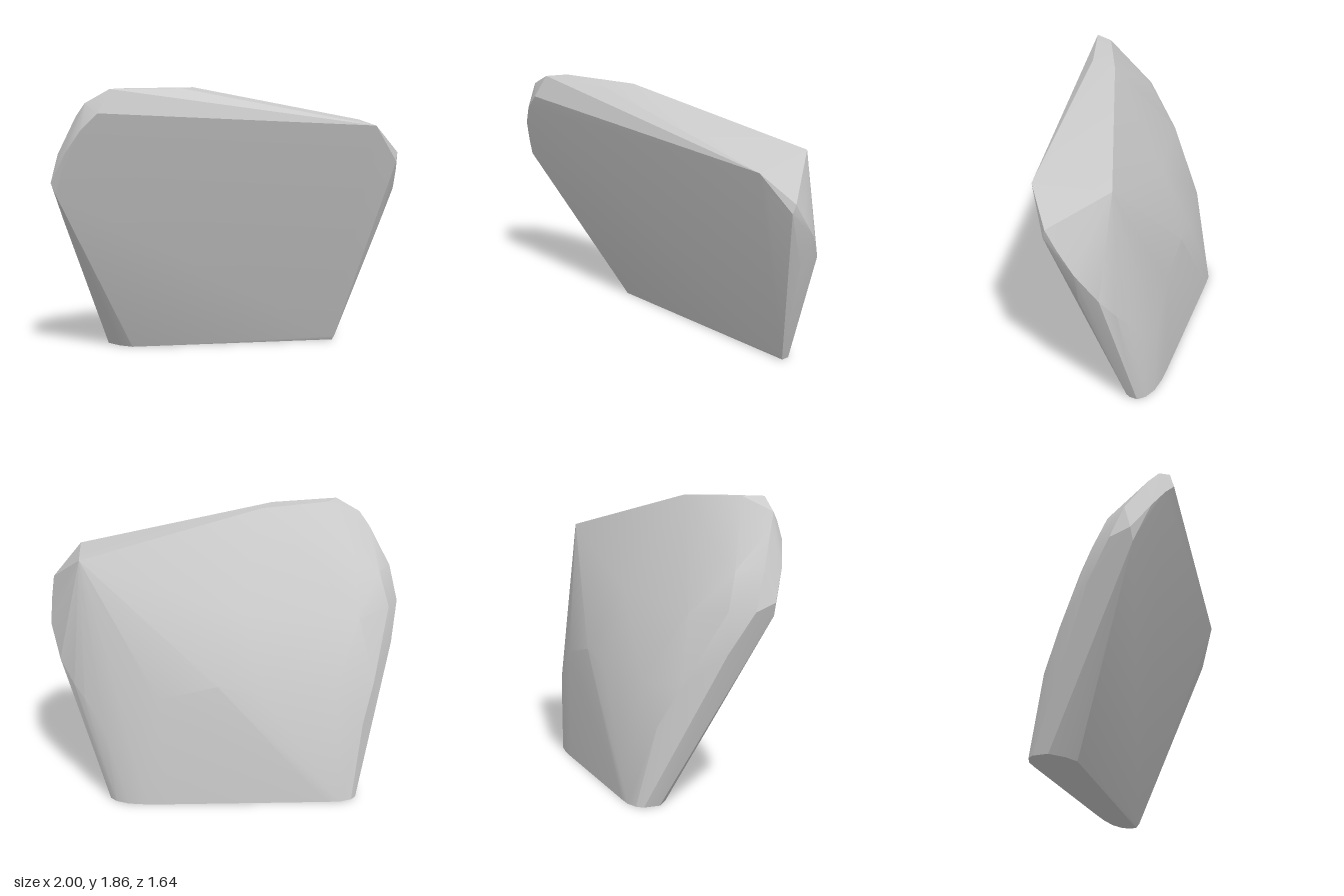
import * as THREE from 'three';
import { ConvexGeometry } from 'three/addons/geometries/ConvexGeometry.js';
import { toCreasedNormals } from 'three/addons/utils/BufferGeometryUtils.js';

// flat foot of the slab: outline [x, z] on the ground
const foot = [
  [-0.72, 0.12], [-0.82, 0.13], [-0.93, 0.11], [-0.98, 0.02], [-0.97, -0.03],
  [-0.92, -0.09], [-0.84, -0.14], [0.08, -0.67], [0.2, -0.735], [0.31, -0.78],
  [0.4, -0.79], [0.46, -0.77], [0.48, -0.72], [0.4, -0.68],
];

// rim of the flat, overhanging front face
const frontRim = [
  [-0.87, 1.17, 0.78], [-0.53, 1.71, 0.78], [0.92, 1.61, -0.34],
  [0.92, 1.48, -0.40], [0.5, 0.03, -0.71],
];

// rounded shoulder on the -x side
const shoulder = [
  [-0.9, 1.25, 0.79], [-0.76, 1.45, 0.82], [-0.64, 1.6, 0.815], [-0.97, 1.2, 0.68],
  [-0.89, 1.43, 0.72], [-0.72, 1.68, 0.75], [-0.64, 1.77, 0.76], [-1, 0.95, 0.52],
  [-0.99, 0.75, 0.25], [-0.98, 0.5, 0.1], [-0.97, 1.2, 0.52], [-0.88, 1.43, 0.55],
];

// top ridge and its sloping facet
const crest = [
  [-0.49, 1.86, 0.7], [-0.49, 1.86, 0.56], [-0.18, 1.86, 0.17],
  [-0.16, 1.86, 0.37], [0.65, 1.62, -0.74], [0.85, 1.62, -0.29],
];

// blunt end on the +x side
const bluntEnd = [
  [1, 1.36, -0.53], [1, 1.42, -0.55], [0.97, 1.3, -0.62], [0.92, 1.15, -0.71],
  [0.8, 0.95, -0.79], [0.85, 0.92, -0.66], [0.6, 0.72, -0.82], [0.45, 0.5, -0.815],
  [0.3, 0.5, -0.78], [0.68, 0.8, -0.815],
];

// softly domed back
const back = [
  [-0.2, 0.83, -0.48], [0.12, 0.75, -0.68], [-0.45, 0.75, -0.32], [-0.6, 1.19, 0.09],
  [-0.86, 1.17, 0.27], [-0.76, 1.5, 0.46], [-0.5, 1.55, 0.28], [-0.25, 1.25, -0.22],
  [0.1, 1.2, -0.5], [-0.83, 0.75, -0.01],
];

export function createModel() {
  const points = [
    ...foot.map(([x, z]) => [x, 0, z]),
    ...frontRim, ...shoulder, ...crest, ...bluntEnd, ...back,
  ].map((p) => new THREE.Vector3(...p));

  const geometry = toCreasedNormals(new ConvexGeometry(points), 0.35);
  const boulder = new THREE.Mesh(geometry, new THREE.MeshStandardMaterial({ color: 0xcccccc }));
  boulder.name = 'leaningBoulder';

  const group = new THREE.Group();
  group.name = 'rock';
  group.add(boulder);
  return group;
}
